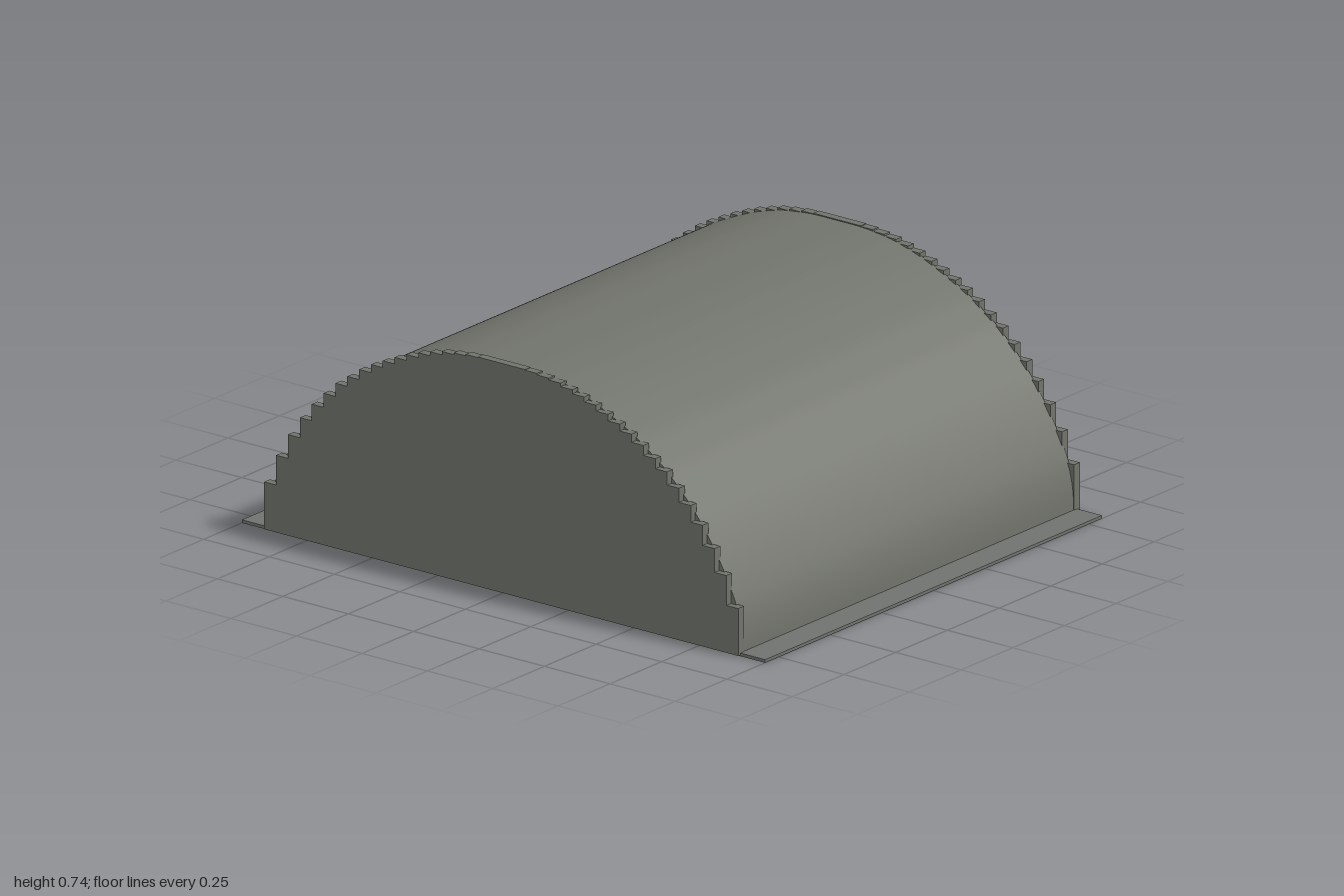
import * as THREE from 'three';
import { toCreasedNormals } from 'three/addons/utils/BufferGeometryUtils.js';

const mat = (name, color) => {
  const m = new THREE.MeshStandardMaterial({ color });
  m.name = name;
  return m;
};

export function createModel() {
  const concrete = mat('concrete grey', 0x70736b);
  const slab = mat('floor grey', 0x70726f);
  const paint = mat('vehicle grey', 0x7b7f80);
  const rubber = mat('rubber black', 0x1c1c1c);
  const sand = mat('sand', 0xc2a878);
  const brass = mat('brass', 0xb08a3c);

  const root = new THREE.Group();
  root.name = 'hangar';
  const add = (parent, name, geo, material, x = 0, y = 0, z = 0) => {
    const mesh = new THREE.Mesh(geo, material);
    mesh.name = name;
    mesh.position.set(x, y, z);
    parent.add(mesh);
    return mesh;
  };
  const box = (parent, name, w, h, d, material, x, y, z) =>
    add(parent, name, new THREE.BoxGeometry(w, h, d), material, x, y, z);

  const FLOOR = 0.01;
  box(root, 'floor', 2, FLOOR, 1.63, slab, 0, FLOOR / 2, 0);

  // Heights of the end wall columns, from the middle outwards
  const STEP = 0.0453;
  const heights = [0.735, 0.735, 0.733, 0.728, 0.722, 0.711, 0.698, 0.682, 0.663, 0.642,
    0.62, 0.594, 0.562, 0.53, 0.488, 0.443, 0.39, 0.326, 0.25, 0.155];

  // Stepped end walls, the rear one with a doorway
  const WALL = 0.028;
  const wallShape = (door) => {
    const pts = [];
    heights.forEach((h, i) => pts.push([i * STEP, h], [(i + 1) * STEP, h]));
    const s = new THREE.Shape();
    s.moveTo(0, heights[0]);
    pts.forEach(([x, y]) => s.lineTo(x, y));
    s.lineTo(20 * STEP, 0.004);
    if (door) {
      s.lineTo(0.36, 0.004);
      s.lineTo(0.36, 0.485);
      s.lineTo(-0.36, 0.485);
      s.lineTo(-0.36, 0.004);
    }
    s.lineTo(-20 * STEP, 0.004);
    pts.reverse().forEach(([x, y]) => s.lineTo(-x, y));
    return s;
  };
  const endWall = (name, door, z) => add(root, name,
    new THREE.ExtrudeGeometry(wallShape(door), { depth: WALL, bevelEnabled: false }), concrete, 0, 0, z);
  endWall('frontWall', false, 0.826 - WALL);
  endWall('rearWall', true, -0.826);

  // Smooth vault passing through the middle of each column top
  const half = heights.map((h, i) => new THREE.Vector2((i + 0.5) * STEP, h - 0.003));
  half.push(new THREE.Vector2(0.902, 0.07), new THREE.Vector2(0.904, 0.005));
  const arch = new THREE.SplineCurve([
    ...half.slice().reverse().map((p) => new THREE.Vector2(-p.x, p.y)), ...half,
  ]).getPoints(96);
  const archBand = (outer, inner, depth) => {
    const at = (k) => arch.map((p) => new THREE.Vector2(p.x * k, Math.max(p.y * k, 0.005)));
    const s = new THREE.Shape([...at(outer), ...at(inner).reverse()]);
    return toCreasedNormals(new THREE.ExtrudeGeometry(s, { depth, bevelEnabled: false }), 0.5);
  };
  add(root, 'vault', archBand(1, 0.975, 1.61), concrete, 0, 0, -0.805);

  // Corrugation ribs inside the vault
  const ribGeo = archBand(0.98, 0.955, 0.03);
  for (let i = 0; i < 26; i++) add(root, 'vaultRib', ribGeo, concrete, 0, 0, -0.78 + i * 0.0606);

  // Open patrol vehicle parked inside, its nose along local +x
  const car = new THREE.Group();
  car.name = 'vehicle';
  car.position.set(0.445, FLOOR, -0.33);
  car.rotation.y = Math.atan2(-0.63, -0.78);
  root.add(car);
  const rod = (parent, name, r, len, material, x, y, z, rx = 0, rz = 0, sides = 10) => {
    const m = add(parent, name, new THREE.CylinderGeometry(r, r, len, sides), material, x, y, z);
    m.rotation.set(rx, 0, rz);
    return m;
  };
  box(car, 'chassis', 0.28, 0.025, 0.1, paint, 0, 0.055, 0);
  box(car, 'bonnet', 0.1, 0.045, 0.115, paint, 0.09, 0.09, 0);
  box(car, 'grille', 0.006, 0.03, 0.07, rubber, 0.142, 0.09, 0);
  box(car, 'bumper', 0.012, 0.018, 0.15, paint, 0.15, 0.06, 0);
  box(car, 'tailgate', 0.01, 0.05, 0.13, paint, -0.14, 0.09, 0);
  box(car, 'dashboard', 0.012, 0.02, 0.12, paint, 0.035, 0.115, 0);
  for (const side of [-1, 1]) {
    box(car, 'sidePanel', 0.18, 0.045, 0.01, paint, -0.05, 0.09, side * 0.065);
    box(car, 'seat', 0.035, 0.02, 0.045, sand, -0.005, 0.09, side * 0.033);
    box(car, 'seatBack', 0.01, 0.045, 0.045, sand, -0.026, 0.115, side * 0.033);
    box(car, 'cargoCrate', 0.05, 0.03, 0.04, side > 0 ? brass : sand, -0.1, 0.125, side * 0.04);
    for (const x of [-0.1, 0.1]) {
      box(car, 'mudguard', 0.085, 0.008, 0.035, paint, x, 0.1, side * 0.067);
      rod(car, 'tyre', 0.045, 0.03, rubber, x, 0.045, side * 0.07, Math.PI / 2, 0, 20);
      rod(car, 'wheelHub', 0.02, 0.034, paint, x, 0.045, side * 0.07, Math.PI / 2, 0, 16);
    }
  }
  const spare = add(car, 'spareTyre', new THREE.TorusGeometry(0.024, 0.009, 8, 20), rubber, 0.09, 0.122, 0);
  spare.rotation.x = Math.PI / 2;
  rod(car, 'gunPost', 0.007, 0.08, paint, -0.07, 0.12, 0);
  box(car, 'gunBody', 0.05, 0.022, 0.018, rubber, -0.075, 0.17, 0);
  rod(car, 'gunBarrel', 0.004, 0.09, rubber, -0.01, 0.172, 0, 0, Math.PI / 2);
  box(car, 'ammunitionBox', 0.025, 0.025, 0.02, brass, -0.075, 0.165, 0.02);

  // Round sand patch with stacked equipment
  const pile = new THREE.Group();
  pile.name = 'equipmentPile';
  pile.position.set(0.03, FLOOR, -0.46);
  root.add(pile);
  rod(pile, 'sandPatch', 0.135, 0.008, sand, 0, 0.004, 0, 0, 0, 32);
  for (let i = 0; i < 12; i++) {
    const a = i * 2.4;
    const r = 0.025 + 0.005 * i;
    const m = box(pile, 'equipmentBar', 0.085, 0.01, 0.016, i % 3 ? rubber : brass,
      r * Math.cos(a), 0.018 + 0.003 * (11 - i), r * Math.sin(a));
    m.rotation.set(0, i * 1.1, 0.25 * Math.sin(i * 1.7));
  }
  return root;
}
